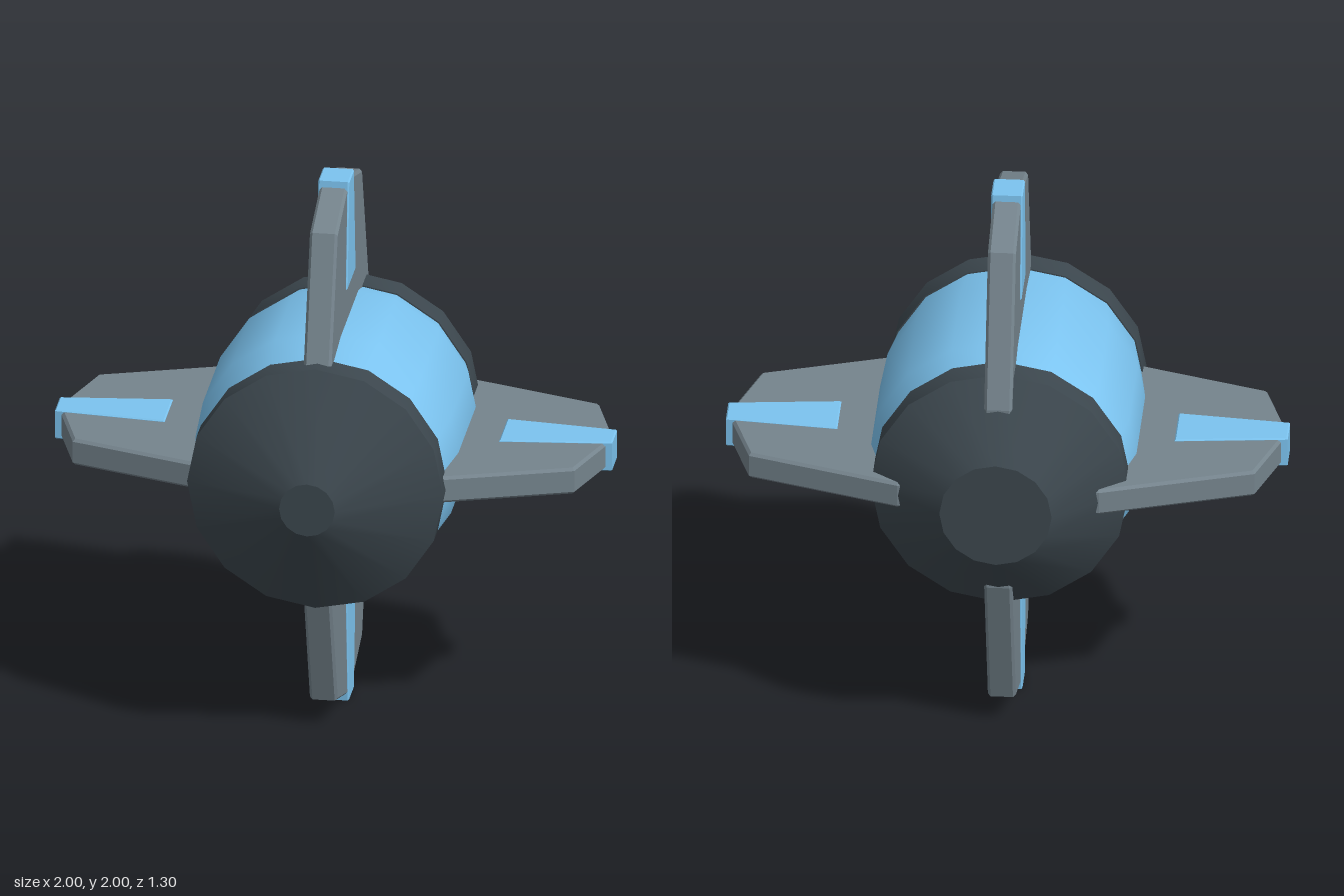
import * as THREE from 'three';
import { toCreasedNormals } from 'three/addons/utils/BufferGeometryUtils.js';

const dark = new THREE.MeshStandardMaterial({ color: 0x3c474e });
const blue = new THREE.MeshStandardMaterial({ color: 0x7cc4f0 });
const grey = new THREE.MeshStandardMaterial({ color: 0x75848d });

// 16-sided turned part along z, from [radius, z] points listed back to front
function turned(name, points, material) {
  const profile = points.map(([r, z]) => new THREE.Vector2(r, z));
  const lathe = new THREE.LatheGeometry(profile, 16).rotateX(Math.PI / 2);
  const mesh = new THREE.Mesh(toCreasedNormals(lathe, 0.5), material);
  mesh.name = name;
  return mesh;
}

// Flat plate from [z, radius] corners, centred on x = 0, with chamfered rims
function plate(name, corners, thickness, bevel, material) {
  const shape = new THREE.Shape(corners.map(([z, r]) => new THREE.Vector2(z, r)));
  const geometry = new THREE.ExtrudeGeometry(shape, {
    depth: thickness - 2 * bevel,
    bevelEnabled: bevel > 0,
    bevelThickness: bevel,
    bevelSize: bevel,
    bevelOffset: -bevel,
    bevelSegments: 1,
  });
  geometry.translate(0, 0, bevel - thickness / 2).rotateY(-Math.PI / 2);
  const mesh = new THREE.Mesh(geometry, material);
  mesh.name = name;
  return mesh;
}

export function createModel() {
  const model = new THREE.Group();
  model.name = 'finnedPod';
  const pod = new THREE.Group();
  pod.name = 'pod';
  pod.position.y = 1;
  model.add(pod);

  // Body: blunt nose, bulging middle and truncated tail
  pod.add(
    turned('noseCone', [[0, 0.35], [0.46, 0.35], [0.46, 0.45], [0.1, 0.65], [0, 0.65]], dark),
    turned('bodyShell', [[0.455, -0.35], [0.482, -0.25], [0.482, 0.17], [0.455, 0.35]], blue),
    turned('tailCone', [[0, -0.65], [0.2, -0.65], [0.46, -0.45], [0.46, -0.35], [0, -0.35]], dark),
  );

  // Four identical fins, each with a raised stripe wrapping over its tip
  const finCorners = [
    [0.4, 0.3], [0.4, 0.45], [0.25, 0.9], [0, 0.98],
    [-0.1, 0.98], [-0.35, 0.9], [-0.53, 0.36], [-0.53, 0.3],
  ];
  const stripeCorners = [[0.05, 0.6], [0.01, 1], [-0.11, 1], [-0.15, 0.6]];
  ['topFin', 'leftFin', 'bottomFin', 'rightFin'].forEach((name, i) => {
    const fin = new THREE.Group();
    fin.name = name;
    fin.rotation.z = -i * Math.PI / 2;
    fin.add(
      plate('finPlate', finCorners, 0.1, 0.01, grey),
      plate('finStripe', stripeCorners, 0.112, 0.005, blue),
    );
    pod.add(fin);
  });

  return model;
}
